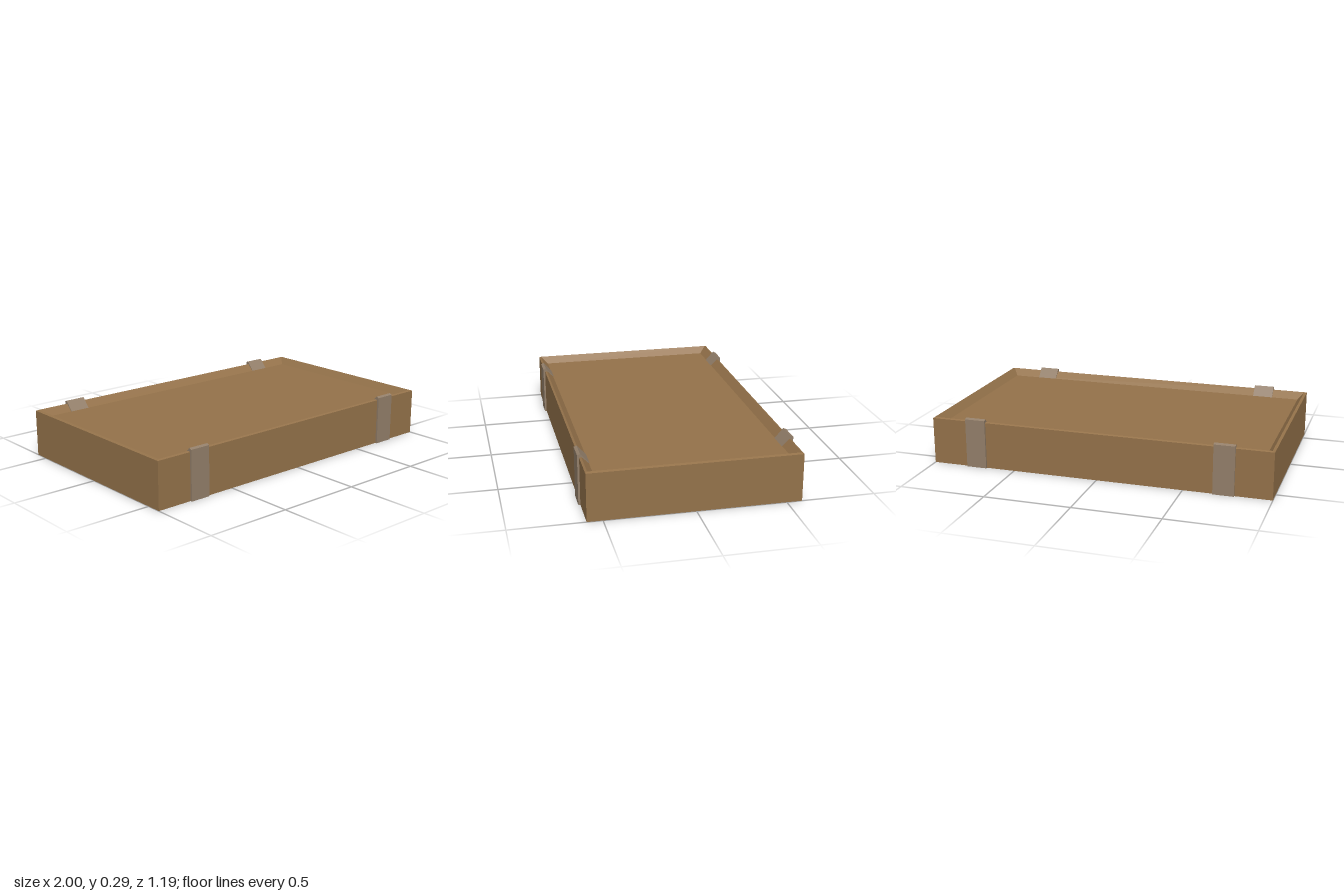
import * as THREE from 'three';

const wood = new THREE.MeshStandardMaterial({ color: 0x94724a, side: THREE.DoubleSide });
wood.name = 'brown wood';
const metal = new THREE.MeshStandardMaterial({ color: 0x937f6a });
metal.name = 'dull metal';

// Joins rectangular rings [halfX, y, halfZ] into flat-faced bands
function rectLoft(rings) {
  const corner = ([x, y, z], i) => [[x, y, z], [x, y, -z], [-x, y, -z], [-x, y, z]][i % 4];
  const pos = [];
  for (let r = 0; r < rings.length - 1; r++) {
    for (let i = 0; i < 4; i++) {
      const a = corner(rings[r], i), b = corner(rings[r], i + 1);
      const c = corner(rings[r + 1], i + 1), d = corner(rings[r + 1], i);
      pos.push(...a, ...b, ...c, ...a, ...c, ...d);
    }
  }
  const geo = new THREE.BufferGeometry();
  geo.setAttribute('position', new THREE.Float32BufferAttribute(pos, 3));
  geo.computeVertexNormals();
  return geo;
}

export function createModel() {
  const group = new THREE.Group();
  const add = (name, geo, mat) => {
    const mesh = new THREE.Mesh(geo, mat);
    mesh.name = name;
    group.add(mesh);
    return mesh;
  };

  // Thin outer walls, open underneath
  add('outerWalls', rectLoft([[1, 0, 0.586], [1, 0.272, 0.586]]), wood);
  // Narrow rim and sloping inner lip
  add('rim', rectLoft([[1, 0.272, 0.586], [0.985, 0.277, 0.575]]), wood);
  add('innerLip', rectLoft([[0.985, 0.277, 0.575], [0.95, 0.237, 0.535]]), wood);
  // Recessed panel
  const panel = add('panel', new THREE.PlaneGeometry(1.9, 1.07).rotateX(-Math.PI / 2), wood);
  panel.position.y = 0.237;

  // Four straps hooked over the long walls; profile is (z, y)
  const profile = new THREE.Shape([
    [0.597, 0], [0.597, 0.287], [0.581, 0.294], [0.531, 0.238],
    [0.537, 0.237], [0.578, 0.274], [0.578, 0],
  ].map(([z, y]) => new THREE.Vector2(z, y)));
  const width = 0.12;
  const clipGeo = new THREE.ExtrudeGeometry(profile, { depth: width, bevelEnabled: false })
    .translate(0, 0, -width / 2).rotateY(-Math.PI / 2);
  for (const front of [true, false]) {
    for (const x of [-0.73, 0.73]) {
      const clip = add((front ? 'front' : 'back') + (x > 0 ? 'Left' : 'Right') + 'Clip', clipGeo, metal);
      clip.position.x = x;
      if (!front) clip.rotation.y = Math.PI;
    }
  }
  return group;
}
